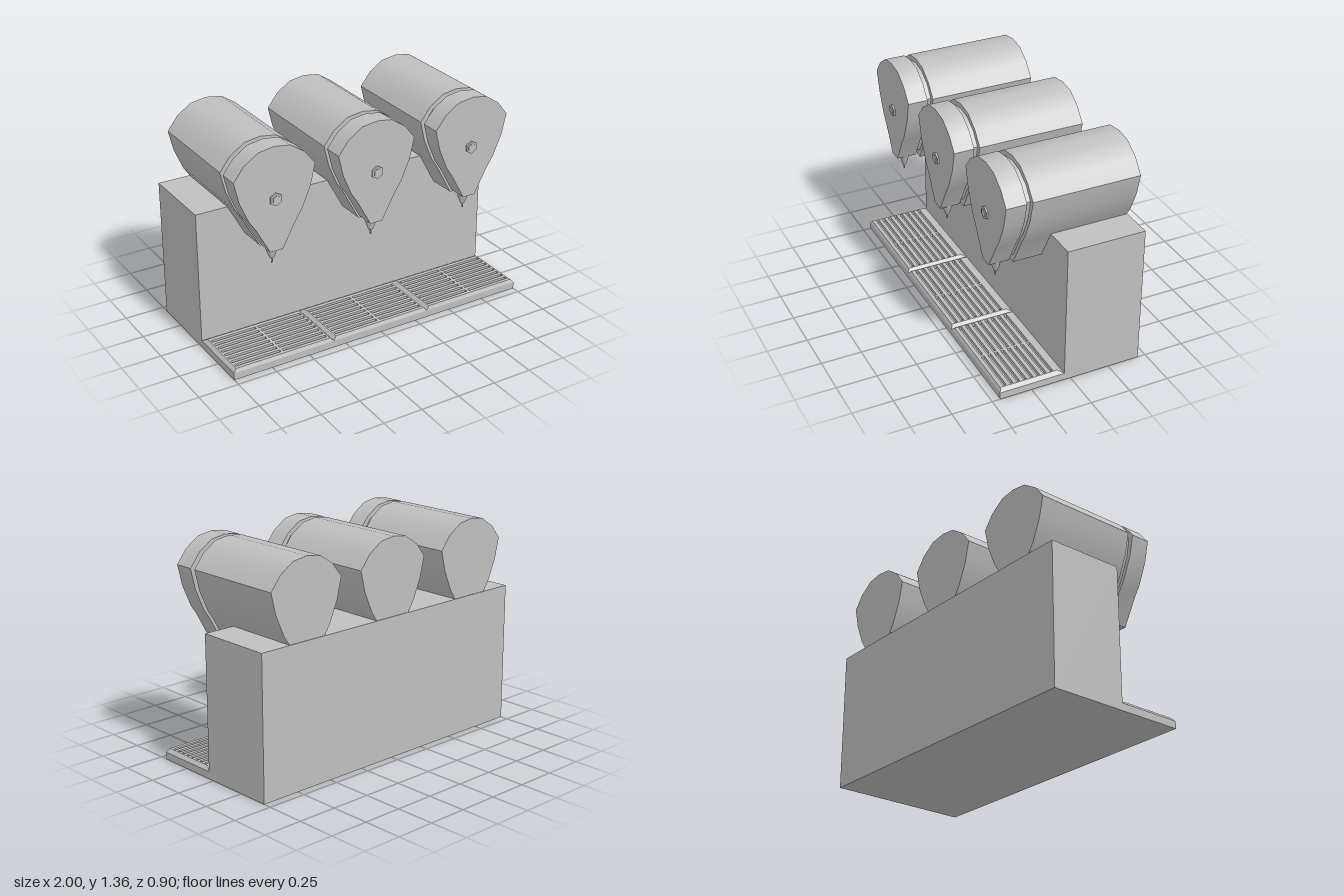
import * as THREE from 'three';
import { toCreasedNormals } from 'three/addons/utils/BufferGeometryUtils.js';

const steel = new THREE.MeshStandardMaterial({ color: 0xbfbfbf });
steel.name = 'grey steel';

function add(parent, name, geometry, x = 0, y = 0, z = 0) {
  const mesh = new THREE.Mesh(geometry, steel);
  mesh.name = name;
  mesh.position.set(x, y, z);
  parent.add(mesh);
  return mesh;
}

// Teardrop cross-section, right half from top to bottom, mirrored
function teardrop(half) {
  const left = half.filter(([x]) => x > 0).map(([x, y]) => [-x, y]).reverse();
  return new THREE.Shape([...half, ...left].map(([x, y]) => new THREE.Vector2(x, y)));
}

function prism(half, z0, z1) {
  const g = new THREE.ExtrudeGeometry(teardrop(half), { depth: z1 - z0, bevelEnabled: false });
  g.translate(0, 0, z0);
  return toCreasedNormals(g, 0.6);
}

const upper = [[0, 1.36], [0.1, 1.345], [0.19, 1.285], [0.257, 1.2], [0.226, 1.07], [0.17, 0.94], [0.13, 0.88]];
const bodyProfile = [...upper, [0.022, 0.68]];
const capProfile = [...upper, [0.04, 0.715]];
const neckProfile = [[0, 1.33], [0.09, 1.315], [0.17, 1.265], [0.225, 1.19], [0.2, 1.07], [0.145, 0.94], [0.105, 0.88], [0.026, 0.735]];

function makeHead() {
  const head = new THREE.Group();
  add(head, 'headBody', prism(bodyProfile, -0.445, 0.22));
  add(head, 'headNeck', prism(neckProfile, 0.215, 0.26));
  add(head, 'headCap', prism(capProfile, 0.255, 0.38));

  // Hexagonal button on the face
  const button = new THREE.CylinderGeometry(0.04, 0.04, 0.01, 6).rotateX(Math.PI / 2);
  add(head, 'buttonBase', toCreasedNormals(button, 0.5), 0, 1.04, 0.385);
  const centre = new THREE.CylinderGeometry(0.026, 0.026, 0.006, 6).rotateX(Math.PI / 2);
  add(head, 'buttonCentre', toCreasedNormals(centre, 0.5), 0, 1.04, 0.392);

  // Tapered spout
  const points = [[0, 0.613], [0.006, 0.613], [0.006, 0.64], [0.015, 0.645], [0.031, 0.685], [0.041, 0.716], [0, 0.716]]
    .map(([r, y]) => new THREE.Vector2(r, y));
  const spout = add(head, 'spout', toCreasedNormals(new THREE.LatheGeometry(points, 16), 0.6), 0, 0, 0.32);
  spout.scale.z = 0.75;
  return head;
}

// Four sloping sides between a lower and an upper rectangle [x, zBack, zFront]
function chamfer([bx, bz0, bz1], by, [tx, tz0, tz1], ty) {
  const low = [[-bx, by, bz1], [bx, by, bz1], [bx, by, bz0], [-bx, by, bz0]];
  const top = [[-tx, ty, tz1], [tx, ty, tz1], [tx, ty, tz0], [-tx, ty, tz0]];
  const pos = [];
  for (let i = 0; i < 4; i++) {
    const j = (i + 1) % 4;
    pos.push(...low[i], ...low[j], ...top[j], ...low[i], ...top[j], ...top[i]);
  }
  const g = new THREE.BufferGeometry();
  g.setAttribute('position', new THREE.Float32BufferAttribute(pos, 3));
  g.computeVertexNormals();
  return g;
}

function rectangle(Kind, x0, x1, z0, z1) {
  return new Kind([[x0, -z1], [x1, -z1], [x1, -z0], [x0, -z0]].map(([x, y]) => new THREE.Vector2(x, y)));
}

function makeTray() {
  const tray = new THREE.Group();
  const w = 1 / 3;
  add(tray, 'trayBase', new THREE.BoxGeometry(2 * w, 0.045, 0.41), 0, 0.0225, 0.245);
  add(tray, 'trayEdge', chamfer([w, 0.04, 0.45], 0.045, [w - 0.02, 0.075, 0.44], 0.067));

  // Slotted grille in two columns
  const grille = rectangle(THREE.Shape, -w + 0.02, w - 0.02, 0.075, 0.44);
  for (let i = 0; i < 8; i++) {
    const z = 0.1 + i * 0.0425;
    grille.holes.push(rectangle(THREE.Path, -w + 0.03, -0.008, z, z + 0.02));
    grille.holes.push(rectangle(THREE.Path, 0.008, w - 0.03, z, z + 0.02));
  }
  const g = new THREE.ExtrudeGeometry(grille, { depth: 0.022, bevelEnabled: false }).rotateX(-Math.PI / 2);
  add(tray, 'trayGrille', g, 0, 0.045, 0);
  return tray;
}

export function createModel() {
  const model = new THREE.Group();
  model.name = 'tripleDispenser';
  add(model, 'cabinet', new THREE.BoxGeometry(2, 0.88, 0.49), 0, 0.44, -0.205);
  ['right', 'middle', 'left'].forEach((side, i) => {
    const x = (i - 1) * 2 / 3;
    const head = makeHead();
    head.name = side + 'Head';
    head.position.x = x;
    const tray = makeTray();
    tray.name = side + 'DripTray';
    tray.position.x = x;
    model.add(head, tray);
  });
  return model;
}
